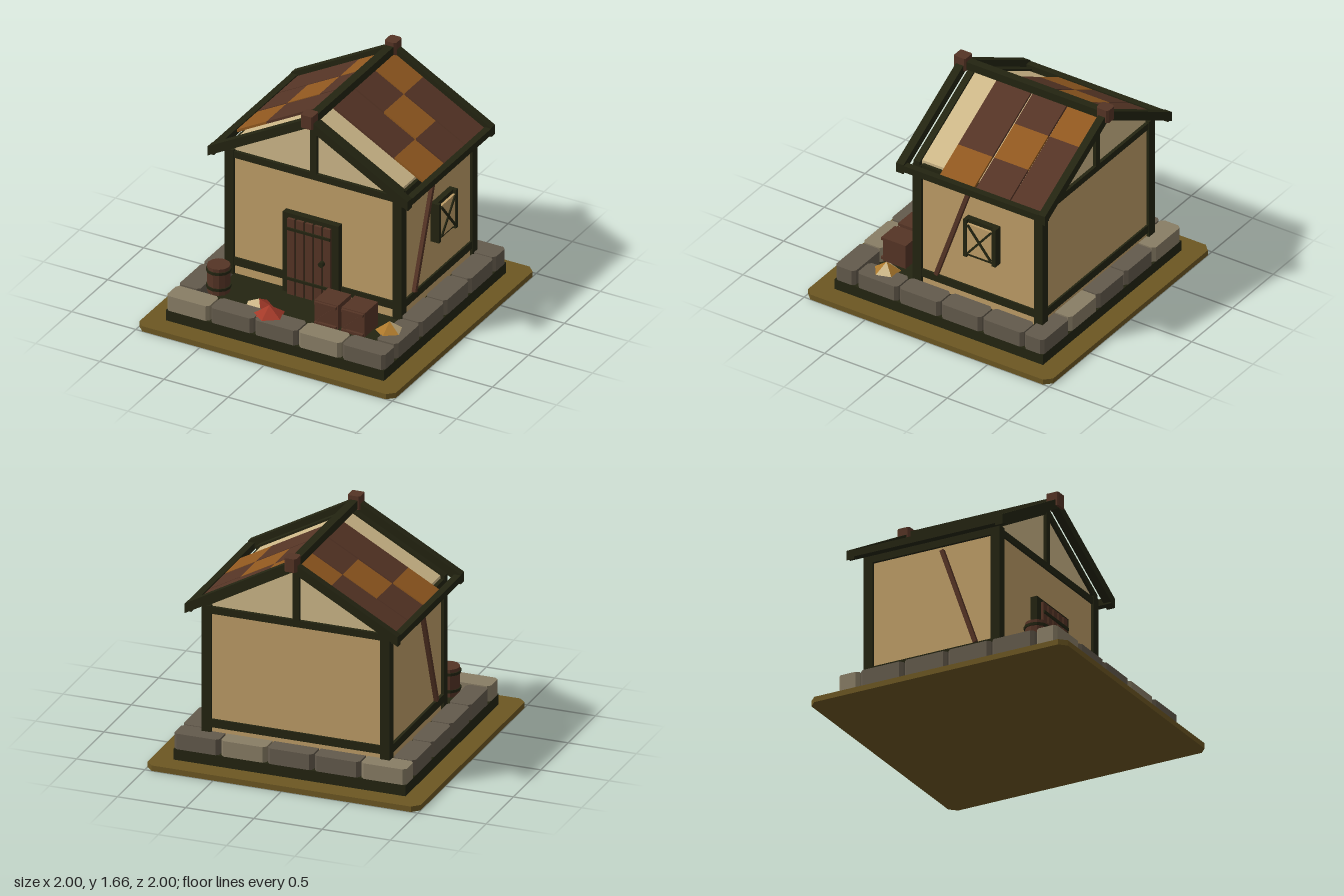
import * as THREE from 'three';

const mat = (name, color) => {
  const m = new THREE.MeshStandardMaterial({ color });
  m.name = name;
  return m;
};

export function createModel() {
  const root = new THREE.Group();
  root.name = 'cottage';
  const M = {
    ground: mat('olive ground', 0x6c5722),
    timber: mat('dark timber', 0x232411),
    wall: mat('tan wall', 0xbe9d67),
    plaster: mat('pale plaster', 0xcdb788),
    wood: mat('brown wood', 0x553425),
    orange: mat('orange tile', 0x90581f),
    stoneLight: mat('light stone', 0x887d65),
    stoneDark: mat('dark stone', 0x635a4c),
    red: mat('red leaves', 0xa33a29),
    amber: mat('amber leaves', 0xab782c),
  };

  const add = (name, geo, material, parent = root) => {
    const m = new THREE.Mesh(geo, material);
    m.name = name;
    parent.add(m);
    return m;
  };
  // Box given by its limits on each axis
  const box = (name, x0, x1, y0, y1, z0, z1, material) => {
    const m = add(name, new THREE.BoxGeometry(x1 - x0, y1 - y0, z1 - z0), material);
    m.position.set((x0 + x1) / 2, (y0 + y1) / 2, (z0 + z1) / 2);
    return m;
  };
  // Upright block with chamfered vertical corners
  const block = (name, x0, x1, y0, y1, z0, z1, c, material) => {
    const w = (x1 - x0) / 2, d = (z1 - z0) / 2;
    const pts = [[w - c, -d], [w, c - d], [w, d - c], [w - c, d], [c - w, d], [-w, d - c], [-w, c - d], [c - w, -d]];
    const shape = new THREE.Shape(pts.map(p => new THREE.Vector2(...p)));
    const geo = new THREE.ExtrudeGeometry(shape, { depth: y1 - y0, bevelEnabled: false }).rotateX(-Math.PI / 2);
    add(name, geo, material).position.set((x0 + x1) / 2, y0, (z0 + z1) / 2);
  };
  // Outline in x/y pushed along z
  const prism = (name, pts, z0, z1, material) => {
    const shape = new THREE.Shape(pts.map(p => new THREE.Vector2(...p)));
    const geo = new THREE.ExtrudeGeometry(shape, { depth: z1 - z0, bevelEnabled: false });
    add(name, geo, material).position.z = z0;
  };
  // Sloping roof piece on side s; top is its height at the ridge line
  const slope = (name, s, x0, x1, top, t, z0, z1, material) => {
    const a = top - 0.555 * x0, b = top - 0.555 * x1;
    prism(name, [[s * x0, a], [s * x1, b], [s * x1, b - t], [s * x0, a - t]], z0, z1, material);
  };

  // Ground and foundation
  block('ground', -1, 1, 0, 0.04, -1, 1, 0.05, M.ground);
  box('foundation', -0.85, 0.85, 0.04, 0.12, -0.85, 0.85, M.timber);

  // Ring of stones
  for (let i = 0; i < 5; i++) {
    const x = -0.85 + i * 0.3425;
    const m = i === 0 || i === 3 ? M.stoneLight : M.stoneDark;
    for (const z of [-0.85, 0.69])
      block('stone', x, x + 0.33, 0.12, 0.235, z, z + 0.16, 0.022, m);
  }
  for (const x of [-0.85, 0.69])
    for (let i = 0; i < 4; i++) {
      const z = -0.68 + i * 0.341;
      block('stone', x, x + 0.16, 0.12, 0.235, z, z + 0.329, 0.022, M.stoneDark);
    }

  // Walls and timber frame
  box('walls', -0.67, 0.67, 0.2, 1.14, -0.72, 0.3, M.wall);
  for (const s of [-1, 1]) {
    const xa = Math.min(s * 0.62, s * 0.69), xb = xa + 0.07;
    box('cornerPost', xa, xb, 0.2, 1.17, 0.25, 0.32, M.timber);
    box('cornerPost', xa, xb, 0.2, 1.17, -0.74, -0.67, M.timber);
    for (const [y0, y1] of [[0.27, 0.33], [1.11, 1.18]])
      box('sideBeam', xa, xb - (s > 0 ? 0.006 : 0), y0, y1, -0.67, 0.25, M.timber);
    // Leaning plank on each side wall
    const plank = add('leaningPlank', new THREE.BoxGeometry(0.03, 0.79, 0.03), M.wood);
    plank.position.set(s * 0.683, 0.705, 0);
    plank.rotation.x = -0.335;
  }
  for (const [z0, z1] of [[0.26, 0.314], [-0.734, -0.68]]) {
    box('lowerBeam', -0.62, 0.62, 0.27, 0.33, z0, z1, M.timber);
    box('tieBeam', -0.62, 0.62, 1.11, 1.16, z0, z1, M.timber);
    box('kingPost', -0.025, 0.025, 1.16, 1.53, z0, z1, M.timber);
  }

  // Gable ends and plaster roof bed
  prism('gables', [[-0.66, 1.14], [0.66, 1.14], [0.66, 1.2], [0, 1.566], [-0.66, 1.2]], -0.71, 0.29, M.plaster);

  // Roof timbers and tiles
  const rows = [[-0.765, -0.505, 0, 0.25], [-0.495, -0.22, 0.25, 0.5], [-0.205, 0.075, 0.5, 0.74]];
  for (const s of [-1, 1]) {
    slope('frontRafter', s, 0, 0.78, 1.628, 0.072, 0.335, 0.395, M.timber);
    slope('backRafter', s, 0, 0.78, 1.628, 0.072, -0.82, -0.765, M.timber);
    slope('gableRafter', s, 0, 0.69, 1.582, 0.05, 0.262, 0.312, M.timber);
    slope('gableRafter', s, 0, 0.69, 1.565, 0.04, -0.735, -0.69, M.timber);
    const e = s > 0 ? 0.73 : -0.78;
    box('eaveBeam', e, e + 0.05, 1.14, 1.19, -0.82, 0.395, M.timber);
    for (const [z0, z1, a, b] of rows) {
      if (a > 0) slope('roofTile', s, 0, a, 1.586, 0.022, z0, z1, M.wood);
      slope('roofTile', s, a, b, 1.586, 0.022, z0, z1, M.orange);
      if (b < 0.74) slope('roofTile', s, b, 0.74, 1.586, 0.022, z0, z1, M.wood);
    }
  }
  box('ridgeBeam', -0.03, 0.03, 1.57, 1.63, -0.82, 0.395, M.timber);
  block('ridgeCap', -0.045, 0.045, 1.56, 1.66, 0.32, 0.415, 0.008, M.wood);
  block('ridgeCap', -0.045, 0.045, 1.56, 1.66, -0.845, -0.745, 0.015, M.wood);

  // Door
  box('doorPost', -0.22, -0.175, 0.2, 0.82, 0.3, 0.35, M.timber);
  box('doorPost', 0.17, 0.215, 0.2, 0.82, 0.3, 0.35, M.timber);
  box('doorLintel', -0.175, 0.17, 0.79, 0.82, 0.3, 0.35, M.timber);
  box('doorBacking', -0.175, 0.17, 0.2, 0.79, 0.3, 0.352, M.timber);
  for (let i = 0; i < 5; i++) {
    const x = -0.172 + i * 0.07;
    box('doorPlank', x, x + 0.054, 0.2, 0.79, 0.352, 0.373, M.wood);
  }
  for (const y of [0.315, 0.705]) box('doorBar', -0.172, 0.165, y, y + 0.02, 0.37, 0.383, M.timber);
  const knob = add('doorKnob', new THREE.CylinderGeometry(0.02, 0.02, 0.035, 8), M.timber);
  knob.rotation.x = Math.PI / 2;
  knob.position.set(0.105, 0.515, 0.388);

  // Side window with crossed bars
  for (const y of [0.6, 0.87]) box('windowFrame', 0.665, 0.712, y, y + 0.03, -0.385, -0.12, M.timber);
  for (const z of [-0.385, -0.15]) box('windowFrame', 0.665, 0.735, 0.6, 0.9, z, z + 0.03, M.timber);
  box('windowPane', 0.665, 0.73, 0.63, 0.87, -0.355, -0.15, M.wall);
  for (const s of [-1, 1]) {
    const bar = add('windowCross', new THREE.BoxGeometry(0.012, 0.3, 0.016), M.timber);
    bar.position.set(0.734, 0.75, -0.2525);
    bar.rotation.x = s * 0.69;
  }

  // Barrel
  const flat = g => {
    const f = g.toNonIndexed();
    f.computeVertexNormals();
    return f;
  };
  const barrel = new THREE.Group();
  barrel.name = 'barrel';
  barrel.position.set(-0.6, 0, 0.56);
  root.add(barrel);
  const ring = (name, r, y0, y1, m) =>
    add(name, flat(new THREE.CylinderGeometry(r, r, y1 - y0, 12)), m, barrel).position.y = (y0 + y1) / 2;
  ring('barrelBody', 0.08, 0.2, 0.405, M.wood);
  ring('barrelHoop', 0.088, 0.36, 0.38, M.timber);
  ring('barrelHoop', 0.088, 0.235, 0.255, M.timber);

  // Crates with a framed, braced front
  for (const x of [0.19, 0.4]) {
    box('crate', x, x + 0.18, 0.2, 0.385, 0.45, 0.635, M.wood);
    box('crateRail', x + 0.005, x + 0.175, 0.36, 0.38, 0.635, 0.655, M.wood);
    box('crateRail', x + 0.005, x + 0.175, 0.205, 0.225, 0.635, 0.655, M.wood);
    const brace = add('crateBrace', new THREE.BoxGeometry(0.02, 0.19, 0.012), M.wood);
    brace.position.set(x + 0.09, 0.292, 0.639);
    brace.rotation.z = -0.8;
  }

  // Five-sided leaf heaps, one colour per face
  const heap = (x, y, z, r, h, turn, faces) => {
    const g = flat(new THREE.ConeGeometry(r, h, 5));
    g.clearGroups();
    faces.forEach((f, i) => g.addGroup(i * 3, 3, f));
    g.addGroup(15, 15, 0);
    const m = add('leafHeap', g, [M.red, M.amber, M.plaster]);
    m.position.set(x, y + h / 2, z);
    m.rotation.y = turn;
  };
  heap(-0.11, 0.23, 0.73, 0.115, 0.075, 0, [0, 0, 0, 0, 0]);
  heap(-0.28, 0.165, 0.57, 0.11, 0.065, Math.PI, [0, 2, 2, 0, 0]);
  heap(0.71, 0.23, 0.52, 0.1, 0.075, 0, [1, 2, 1, 2, 1]);

  return root;
}
